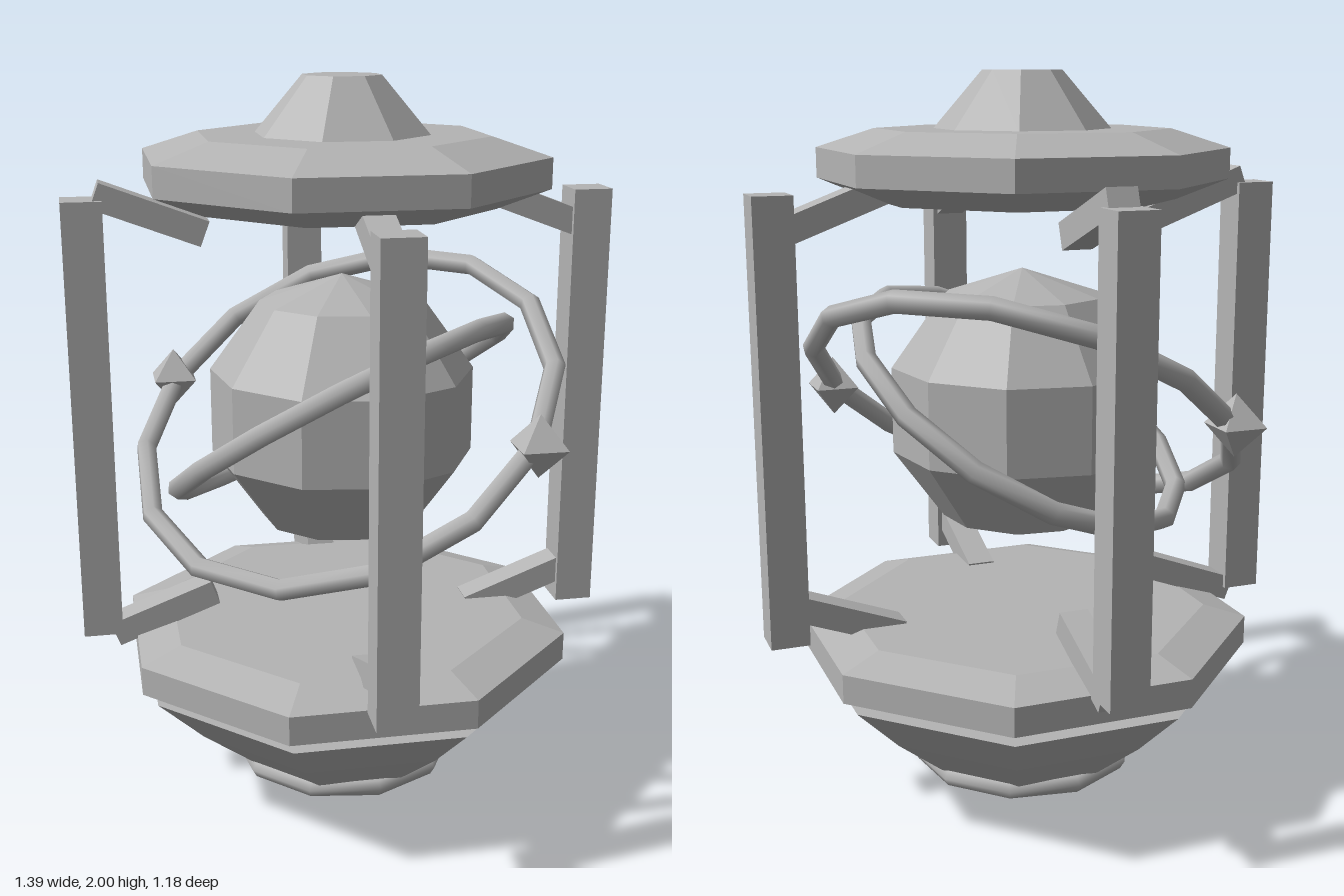
import * as THREE from 'three';

const stone = new THREE.MeshStandardMaterial({ color: 0xb4b4b4 });
stone.name = 'stone grey';

const CENTRE_Y = 1.1;

// Hard-edged facets
function faceted(geometry) {
  const g = geometry.index ? geometry.toNonIndexed() : geometry;
  g.computeVertexNormals();
  return g;
}

// Octagonal turned solid with a flat facing front; profile is [apothem, y] from bottom to top
function octagonal(profile) {
  const k = 1 / Math.cos(Math.PI / 8);
  const points = profile.map(([a, y]) => new THREE.Vector2(a * k, y));
  return faceted(new THREE.LatheGeometry(points, 8, Math.PI / 8));
}

export function createModel() {
  const model = new THREE.Group();
  model.name = 'lantern';

  const add = (name, geometry, x = 0, y = 0, z = 0) => {
    const mesh = new THREE.Mesh(geometry, stone);
    mesh.name = name;
    mesh.position.set(x, y, z);
    model.add(mesh);
    return mesh;
  };

  // Base: bowl, foot ring and plate
  add('bowl', octagonal([[0, 0], [0.148, 0], [0.285, 0.095], [0.425, 0.22], [0.55, 0.355], [0, 0.355]]));
  add('footRing', new THREE.TorusGeometry(0.295, 0.026, 6, 10).rotateX(Math.PI / 2), 0, 0.08, 0);
  add('basePlate', octagonal([[0, 0.35], [0.4, 0.35], [0.59, 0.4], [0.59, 0.48], [0.48, 0.515], [0, 0.515]]));

  // Roof and finial
  add('roof', octagonal([[0, 1.665], [0.38, 1.665], [0.51, 1.72], [0.51, 1.8], [0.365, 1.85], [0, 1.85]]));
  add('finial', octagonal([[0, 1.845], [0.222, 1.845], [0.098, 2], [0, 2]]));

  // Corner posts, each with a slanted brace at top and bottom
  const postGeometry = new THREE.BoxGeometry(0.106, 1.2, 0.106);
  const braceGeometry = new THREE.BoxGeometry(0.3, 0.07, 0.08);
  for (const sx of [-1, 1]) {
    for (const sz of [-1, 1]) {
      const turn = -sx * sz * Math.PI / 4;
      add('post', postGeometry, sx * 0.483, 1.095, sz * 0.483).rotation.y = turn;
      add('topBrace', braceGeometry, sx * 0.36, 1.655, sz * 0.36).rotation.set(0, turn, -0.36);
      add('bottomBrace', braceGeometry, sx * 0.36, 0.54, sz * 0.36).rotation.set(0, turn, 0.36);
    }
  }

  // Globe and its two tilted rings
  add('globe', faceted(new THREE.SphereGeometry(0.38, 10, 5)), 0, CENTRE_Y, 0);
  const ring = (radius) => new THREE.TorusGeometry(radius, 0.03, 6, 14).rotateX(Math.PI / 2);
  add('outerRing', ring(0.6), 0, CENTRE_Y, 0).rotation.x = 0.63;
  add('innerRing', ring(0.505), 0, CENTRE_Y, 0).rotation.z = 0.58;

  // Pointed studs on the outer ring
  const studGeometry = faceted(new THREE.OctahedronGeometry(0.085));
  for (const sx of [-1, 1]) add('stud', studGeometry, sx * 0.61, CENTRE_Y, 0);

  return model;
}
